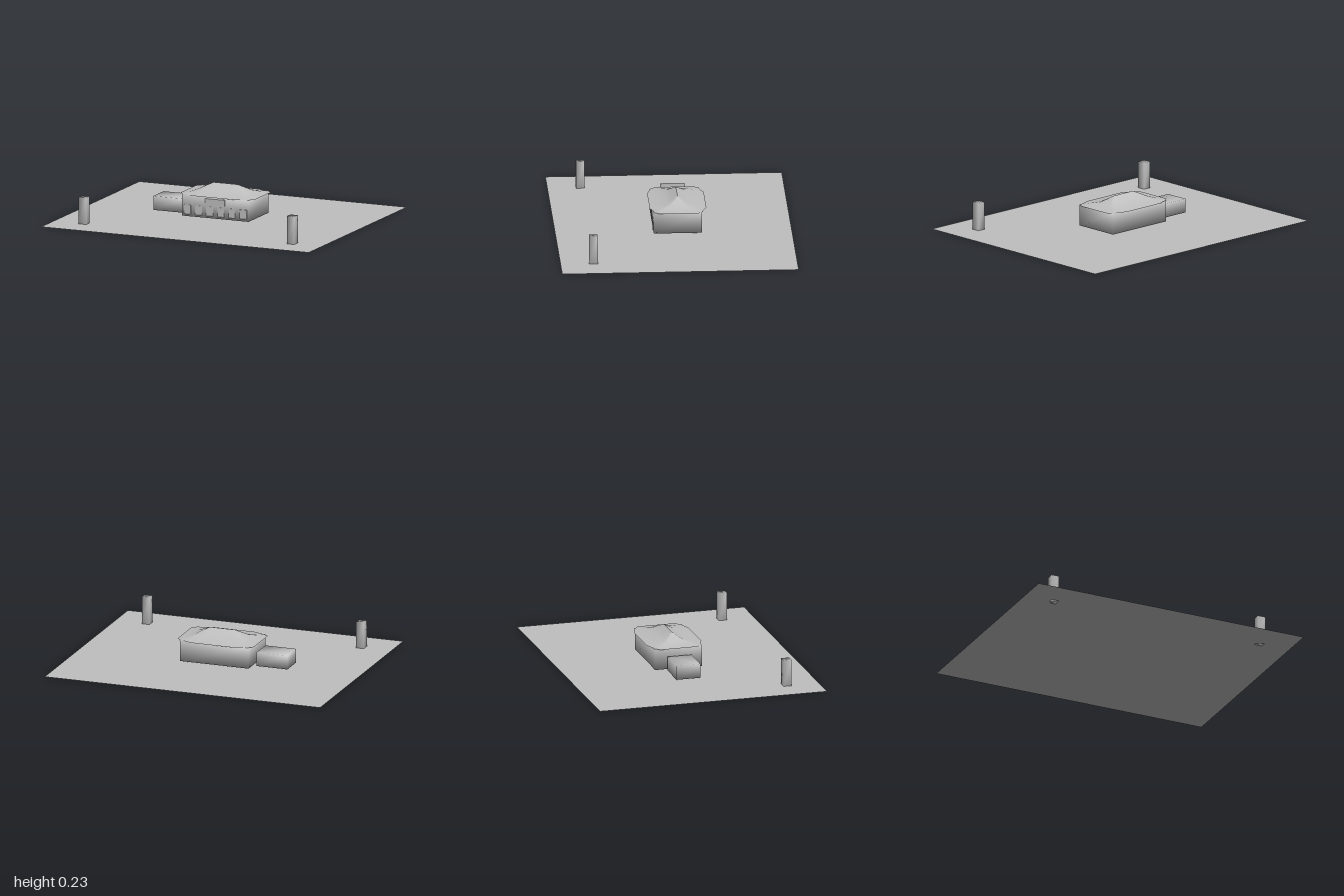
import * as THREE from 'three';
import { mergeVertices } from 'three/addons/utils/BufferGeometryUtils.js';

const grey = new THREE.MeshStandardMaterial({ color: 0xbfbfbf, side: THREE.DoubleSide });
grey.name = 'plain grey';

function add(group, name, geometry) {
  const mesh = new THREE.Mesh(geometry, grey);
  mesh.name = name;
  group.add(mesh);
  return mesh;
}

// Box given by its limits; soft boxes share corner normals
function box(x0, x1, y0, y1, z0, z1, soft = true) {
  let g = new THREE.BoxGeometry(x1 - x0, y1 - y0, z1 - z0);
  if (soft) {
    g.deleteAttribute('uv');
    g.deleteAttribute('normal');
    g = mergeVertices(g);
    g.computeVertexNormals();
  }
  return g.translate((x0 + x1) / 2, (y0 + y1) / 2, (z0 + z1) / 2);
}

// Eave outline with notched corners: one quarter, mirrored to all four
function eaveOutline() {
  const quarter = [[0.277, 0.135], [0.25, 0.152], [0.25, 0.165], [0.225, 0.167], [0.157, 0.193]];
  const back = [...quarter].reverse();
  return [
    ...quarter,
    ...back.map(([x, z]) => [-x, z]),
    ...quarter.map(([x, z]) => [-x, -z]),
    ...back.map(([x, z]) => [x, -z]),
  ];
}

// Loft of the outline through rings of [x scale, z scale, height]
function loft(outline, rings) {
  const n = outline.length, positions = [], index = [];
  for (const [sx, sz, y] of rings)
    for (const [x, z] of outline) positions.push(x * sx, y, z * sz);
  for (let r = 0; r < rings.length - 1; r++)
    for (let i = 0; i < n; i++) {
      const a = r * n + i, b = r * n + (i + 1) % n;
      index.push(a, a + n, b, b, a + n, b + n);
    }
  const g = new THREE.BufferGeometry();
  g.setAttribute('position', new THREE.Float32BufferAttribute(positions, 3));
  g.setIndex(index);
  g.computeVertexNormals();
  return g;
}

export function createModel() {
  const model = new THREE.Group();
  model.name = 'house on plot';

  // Plot
  add(model, 'ground', new THREE.PlaneGeometry(2, 1.61).rotateX(-Math.PI / 2));

  // Gate posts at the front of the plot
  add(model, 'rightGatePost', box(-0.808, -0.752, 0, 0.185, 0.552, 0.61));
  add(model, 'leftGatePost', box(0.748, 0.804, 0, 0.193, 0.552, 0.61));

  // Main hall and side annex
  add(model, 'hall', box(-0.25, 0.247, 0.015, 0.163, -0.191, 0.138));
  add(model, 'annex', box(-0.504, -0.28, 0.015, 0.112, -0.115, 0.054));

  // Hipped roof with a concave slope
  const outline = eaveOutline();
  const roof = new THREE.Group();
  roof.name = 'roof';
  roof.position.set(-0.002, 0, -0.032);
  model.add(roof);
  add(roof, 'roofSlopes', loft(outline, [
    [1, 1, 0.165], [0.8, 0.76, 0.172], [0.64, 0.4, 0.186], [0.49, 0.19, 0.207], [0.32, 0, 0.228],
  ]));
  add(roof, 'eaveUnderside', loft(outline, [[0, 0, 0.164], [1, 1, 0.164]]));

  // Front wall: panels, name board and a shallow window box
  for (let i = 0; i < 5; i++) {
    const x = -0.21 + i * 0.083;
    add(model, 'frontPanel', box(x - 0.025, x + 0.025, 0.03, 0.095, 0.136, 0.14, false));
  }
  add(model, 'frontBoard', box(-0.075, 0.07, 0.107, 0.15, 0.136, 0.144, false));
  add(model, 'windowBox', box(0.18, 0.234, 0.033, 0.095, 0.136, 0.144, false));

  return model;
}
